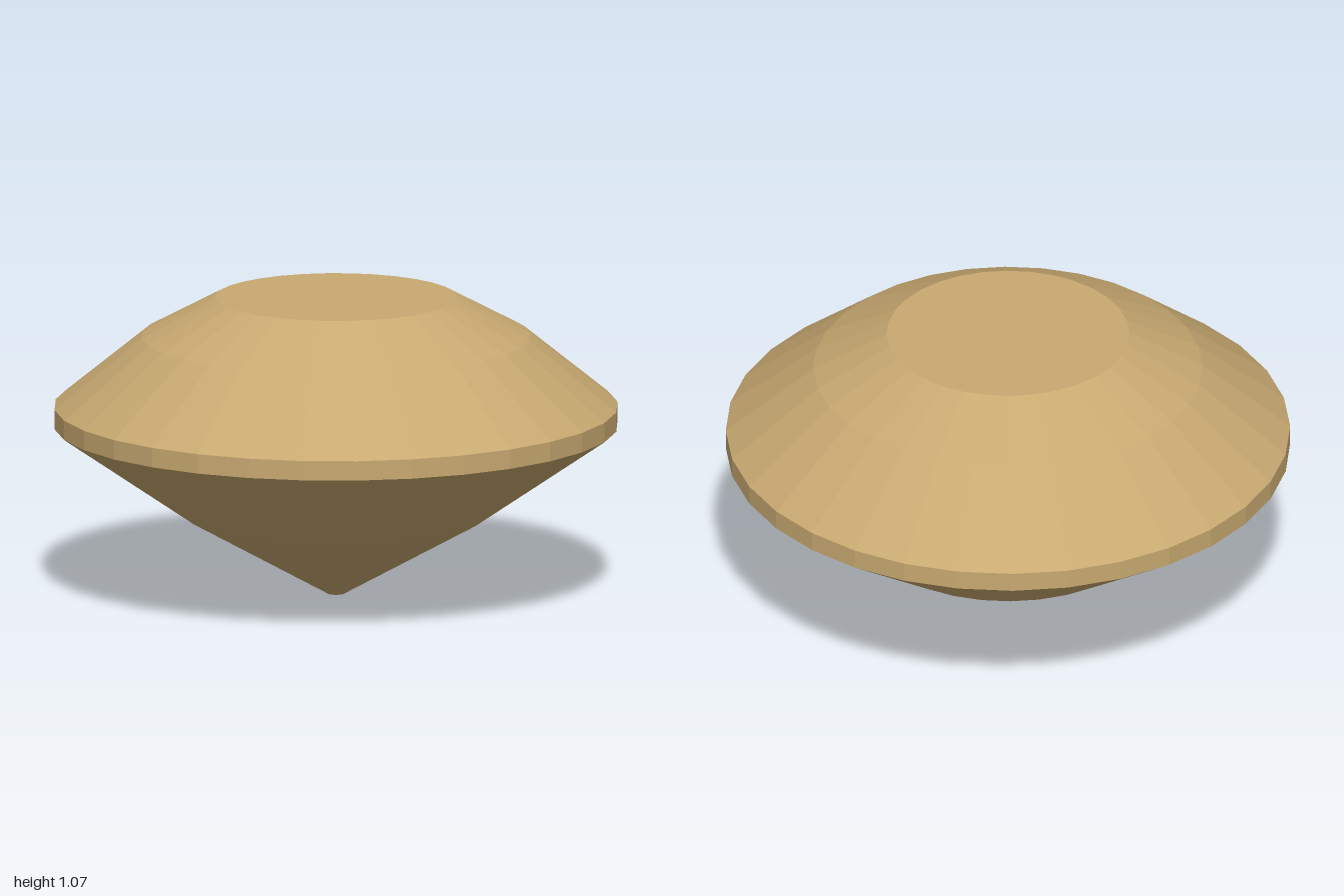
import * as THREE from 'three';

const SIDES = 32;

export function createModel() {
  const group = new THREE.Group();
  group.name = 'cutGem';
  const gold = new THREE.MeshStandardMaterial({ color: 0xc8a971 });
  gold.name = 'warm gold';

  // Revolves a bottom-to-top profile into flat facets
  function facetedRing(name, profile) {
    const points = profile.map(([r, y]) => new THREE.Vector2(r, y));
    const geometry = new THREE.LatheGeometry(points, SIDES).toNonIndexed();
    geometry.computeVertexNormals();
    const mesh = new THREE.Mesh(geometry, gold);
    mesh.name = name;
    group.add(mesh);
  }

  // Flat disc that closes an end
  function cap(name, radius, y, tilt) {
    const mesh = new THREE.Mesh(new THREE.CircleGeometry(radius, SIDES), gold);
    mesh.name = name;
    mesh.rotation.x = tilt;
    mesh.position.y = y;
    group.add(mesh);
  }

  cap('culet', 0.03, 0, Math.PI / 2);
  facetedRing('lowerPavilion', [[0.03, 0], [0.52, 0.275]]);
  facetedRing('upperPavilion', [[0.52, 0.275], [1, 0.607]]);
  facetedRing('girdle', [[1, 0.607], [1, 0.677]]);
  facetedRing('lowerCrown', [[1, 0.677], [0.69, 0.93]]);
  facetedRing('upperCrown', [[0.69, 0.93], [0.43, 1.07]]);
  cap('table', 0.43, 1.07, -Math.PI / 2);

  return group;
}
